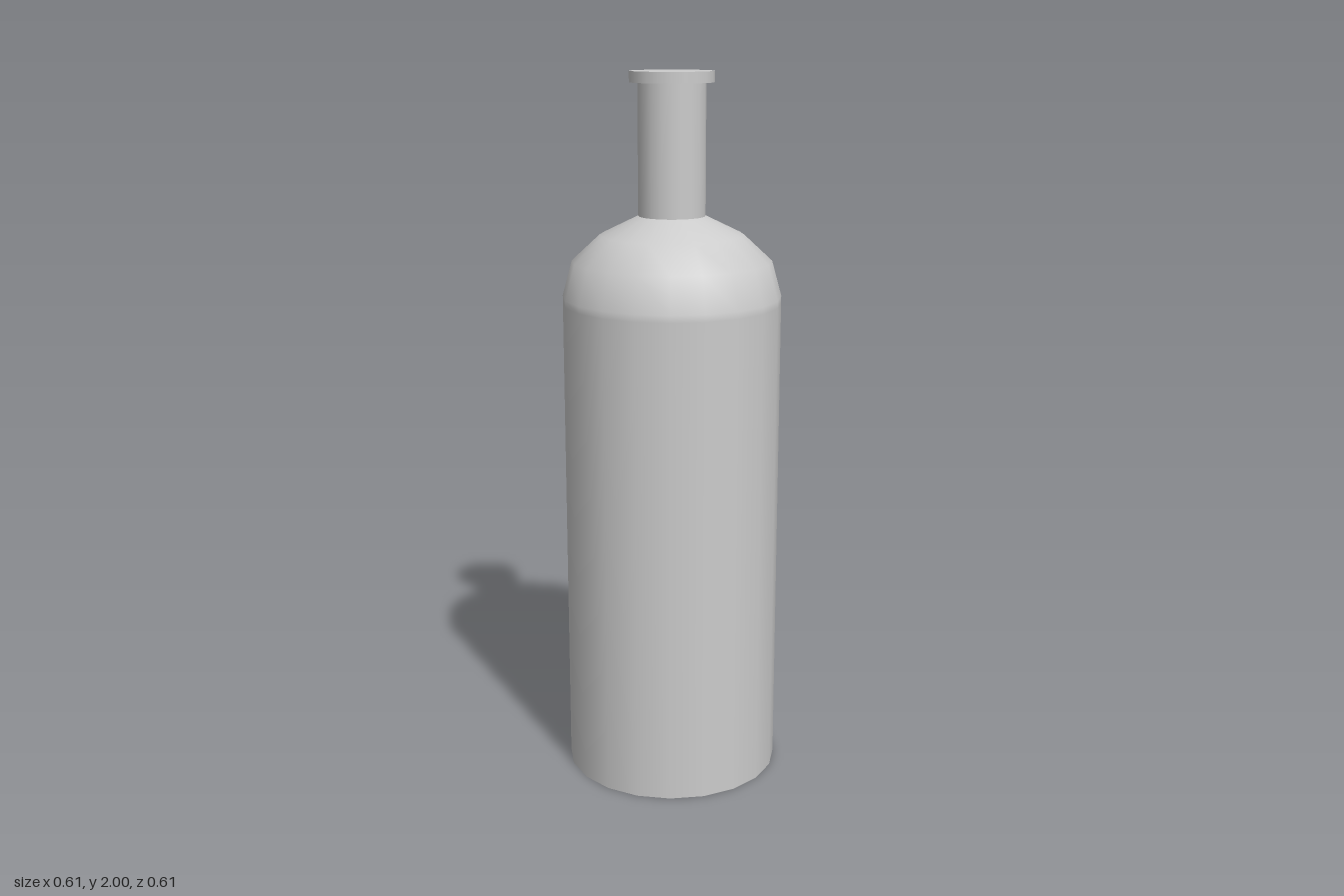
import * as THREE from 'three';

const SIDES = 20;

export function createModel() {
  const bottle = new THREE.Group();
  bottle.name = 'bottle';
  const material = new THREE.MeshStandardMaterial({ color: 0xcccccc });

  function add(name, geometry, y = 0) {
    const mesh = new THREE.Mesh(geometry, material);
    mesh.name = name;
    mesh.position.y = y;
    bottle.add(mesh);
    return mesh;
  }

  // Straight wall running smoothly into the domed shoulder
  const profile = [
    [0.305, 0], [0.305, 1.37], [0.305, 1.39], [0.278, 1.488],
    [0.2, 1.56], [0.093, 1.612], [0.06, 1.62],
  ].map(([r, y]) => new THREE.Vector2(r, y));
  add('body', new THREE.LatheGeometry(profile, SIDES));

  // Flat underside
  add('base', new THREE.CircleGeometry(0.305, SIDES).rotateX(Math.PI / 2));

  // Neck, sunk slightly into the shoulder
  add('neck', new THREE.CylinderGeometry(0.093, 0.093, 0.38, SIDES, 1, true), 1.79);

  // Closed lip at the mouth
  add('lip', new THREE.CylinderGeometry(0.116, 0.116, 0.03, SIDES), 1.985);

  return bottle;
}
